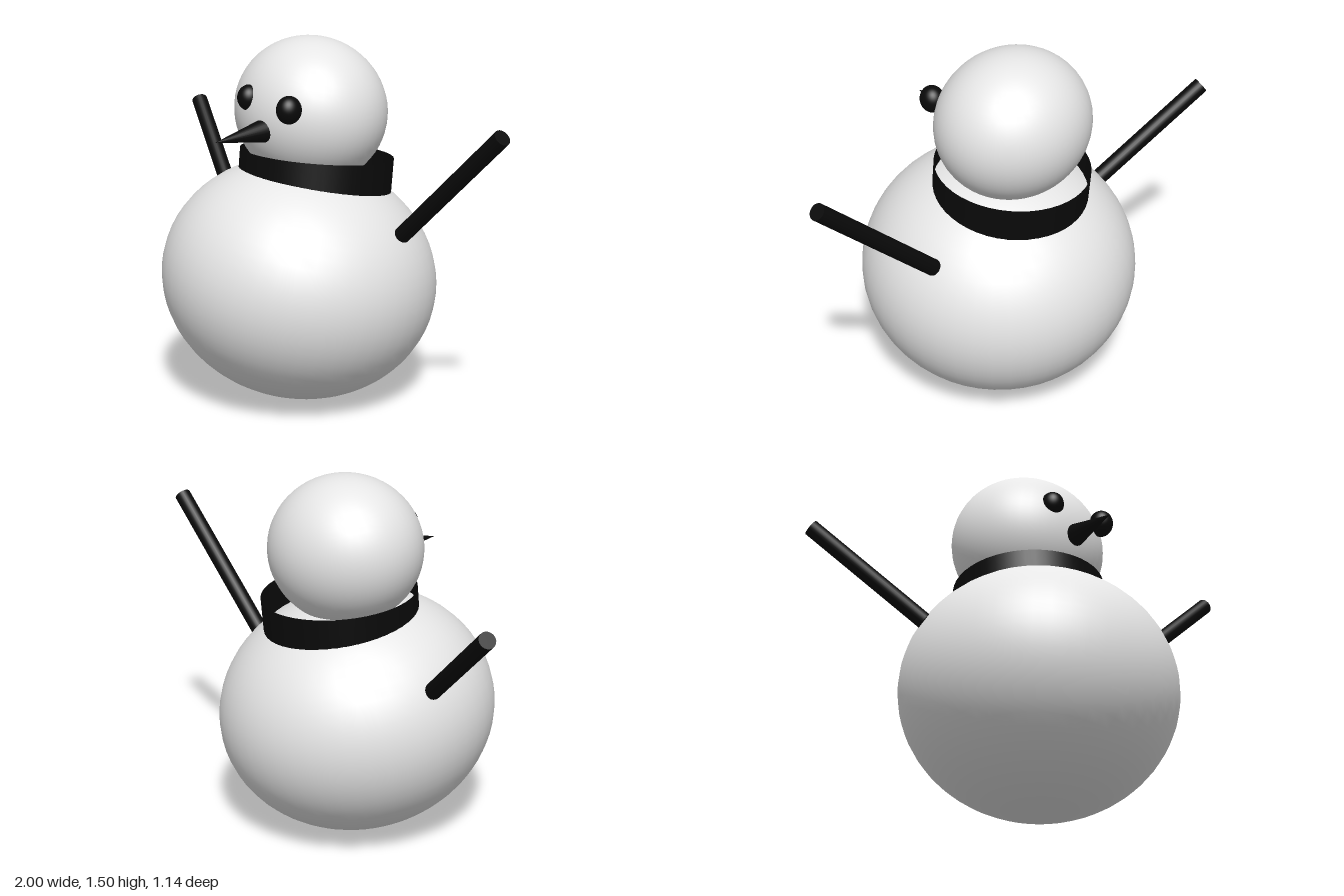
import * as THREE from 'three';

export function createModel() {
  const model = new THREE.Group();
  const snow = new THREE.MeshStandardMaterial({ color: 0xe6e6e6 });
  snow.name = 'snow white';
  const coal = new THREE.MeshStandardMaterial({ color: 0x0a0a0a });
  coal.name = 'coal black';
  const cloth = new THREE.MeshStandardMaterial({ color: 0x0a0a0a, side: THREE.DoubleSide });
  cloth.name = 'scarf black';

  const add = (name, geometry, material) => {
    const mesh = new THREE.Mesh(geometry, material);
    mesh.name = name;
    model.add(mesh);
    return mesh;
  };

  // Slightly squashed and tilted ball
  const ball = (name, material, center, radii, tiltX = 0, tiltZ = 0) => {
    const mesh = add(name, new THREE.SphereGeometry(1, 48, 32), material);
    mesh.position.set(...center);
    mesh.scale.set(...radii);
    mesh.rotation.set(tiltX, 0, tiltZ);
    return mesh;
  };

  // Straight rod or cone between two points
  const rod = (name, from, to, r0, r1) => {
    const a = new THREE.Vector3(...from);
    const b = new THREE.Vector3(...to);
    const mesh = add(name, new THREE.CylinderGeometry(r1, r0, a.distanceTo(b), 24), coal);
    mesh.position.copy(a).add(b).multiplyScalar(0.5);
    mesh.quaternion.setFromUnitVectors(new THREE.Vector3(0, 1, 0), b.sub(a).normalize());
    return mesh;
  };

  // Snow balls
  ball('body', snow, [-0.03, 0.5, 0], [0.57, 0.497, 0.573], -0.14, -0.14);
  ball('head', snow, [-0.04, 1.193, -0.072], [0.328, 0.302, 0.303], -0.1, -0.14);

  // Scarf: open band around the neck, higher at the front
  const scarf = add('scarf', new THREE.CylinderGeometry(0.317, 0.317, 0.146, 48, 1, true), cloth);
  scarf.position.set(-0.022, 0.943, -0.083);
  scarf.rotation.x = -0.1;

  // Face
  ball('rightEye', coal, [-0.105, 1.268, 0.2], [0.047, 0.053, 0.05]);
  ball('leftEye', coal, [0.142, 1.254, 0.205], [0.049, 0.056, 0.052]);
  rod('nose', [-0.003, 1.15, 0.215], [-0.005, 1.136, 0.46], 0.047, 0);

  // Stick arms
  rod('rightArm', [-0.54, 0.72, -0.068], [-0.98, 1.078, -0.235], 0.034, 0.034);
  rod('leftArm', [0.44, 0.748, -0.13], [0.972, 1.232, -0.115], 0.034, 0.034);

  return model;
}
